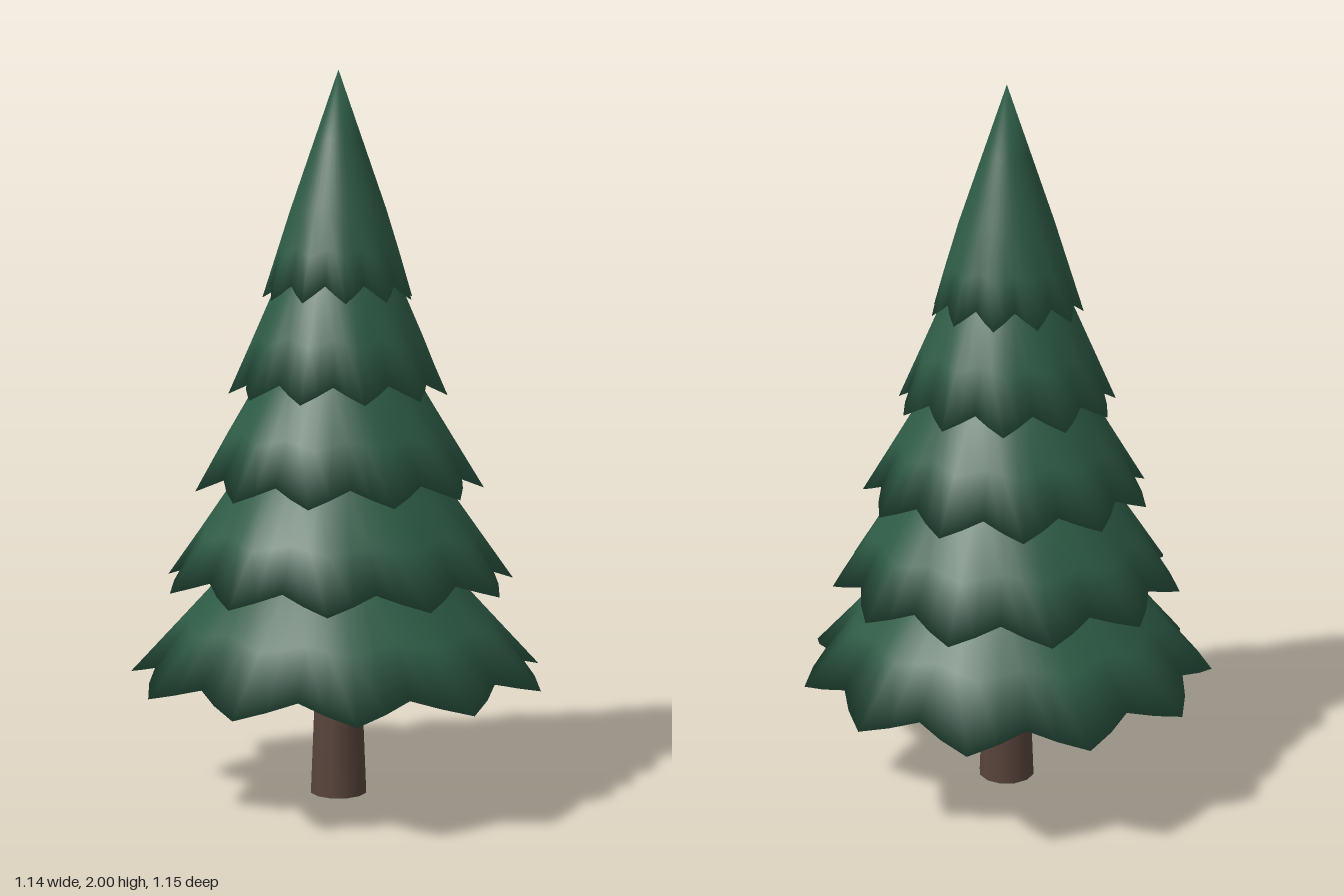
import * as THREE from 'three';
import { mergeVertices } from 'three/addons/utils/BufferGeometryUtils.js';

const TIPS = 11;          // branch tips around each tier
const SEGS = TIPS * 4;

// One closed skirt: rings run from the apex down to the wavy hem, then up the hollow underside.
function tierGeometry({ top, hem, mid, tip, under, phase }) {
  // each ring: radius, height, strength of the scallop
  const rings = [
    [0, top, 0],
    [mid[0] * 0.5, (top + mid[1]) / 2, 0],
    [mid[0], mid[1], 0.15],
    [(mid[0] + tip) / 2, (mid[1] + hem) / 2, 0.5],
    [tip, hem, 1],
    [tip * 0.5, hem + under * 0.6, 0.25],
    [0, hem + under, 0],
  ];
  const pos = [], index = [];
  rings.forEach(([r, y, w], i) => {
    for (let j = 0; j < SEGS; j++) {
      const a = (j / SEGS) * Math.PI * 2;
      const notch = (1 - Math.cos(a * TIPS)) / 2;     // 0 at a tip, 1 in a valley
      const rr = r * (1 - 0.115 * w * notch);
      pos.push(rr * Math.cos(a + phase), y + 0.045 * w * notch, rr * Math.sin(a + phase));
      if (i === rings.length - 1) continue;
      const k = (j + 1) % SEGS, p = i * SEGS, q = p + SEGS;
      if (i > 0) index.push(p + j, p + k, q + j);
      if (i < rings.length - 2) index.push(p + k, q + k, q + j);
      else continue;
      if (i === 0) index.splice(-3, 3, p + j, q + k, q + j);
    }
  });
  let geo = new THREE.BufferGeometry();
  geo.setAttribute('position', new THREE.Float32BufferAttribute(pos, 3));
  geo.setIndex(index);
  geo = mergeVertices(geo, 1e-5);
  geo.computeVertexNormals();
  return geo;
}

export function createModel() {
  const needles = new THREE.MeshStandardMaterial({ color: 0x2d5a45 });
  needles.name = 'needle green';
  const bark = new THREE.MeshStandardMaterial({ color: 0x57433a });
  bark.name = 'bark brown';

  const tree = new THREE.Group();
  tree.name = 'pineTree';

  // Tapered trunk, reaching up into the lowest tier
  const trunk = new THREE.Mesh(new THREE.CylinderGeometry(0.055, 0.08, 0.6, 12), bark);
  trunk.name = 'trunk';
  trunk.position.y = 0.3;
  tree.add(trunk);

  // Branch tiers from bottom to top
  const tiers = [
    { top: 0.92, hem: 0.335, mid: [0.3, 0.64], tip: 0.582, under: 0.13, phase: 0 },
    { top: 1.18, hem: 0.6, mid: [0.29, 0.88], tip: 0.488, under: 0.13, phase: 0.14 },
    { top: 1.42, hem: 0.865, mid: [0.225, 1.15], tip: 0.4, under: 0.12, phase: 0.28 },
    { top: 1.68, hem: 1.125, mid: [0.175, 1.41], tip: 0.302, under: 0.11, phase: 0.42 },
    { top: 2.0, hem: 1.385, mid: [0.132, 1.62], tip: 0.208, under: 0.1, phase: 0.56 },
  ];
  tiers.forEach((t, i) => {
    const tier = new THREE.Mesh(tierGeometry(t), needles);
    tier.name = `branchTier${i + 1}`;
    tree.add(tier);
  });

  tree.position.x = -0.012;
  const model = new THREE.Group();
  model.name = 'model';
  model.add(tree);
  return model;
}
